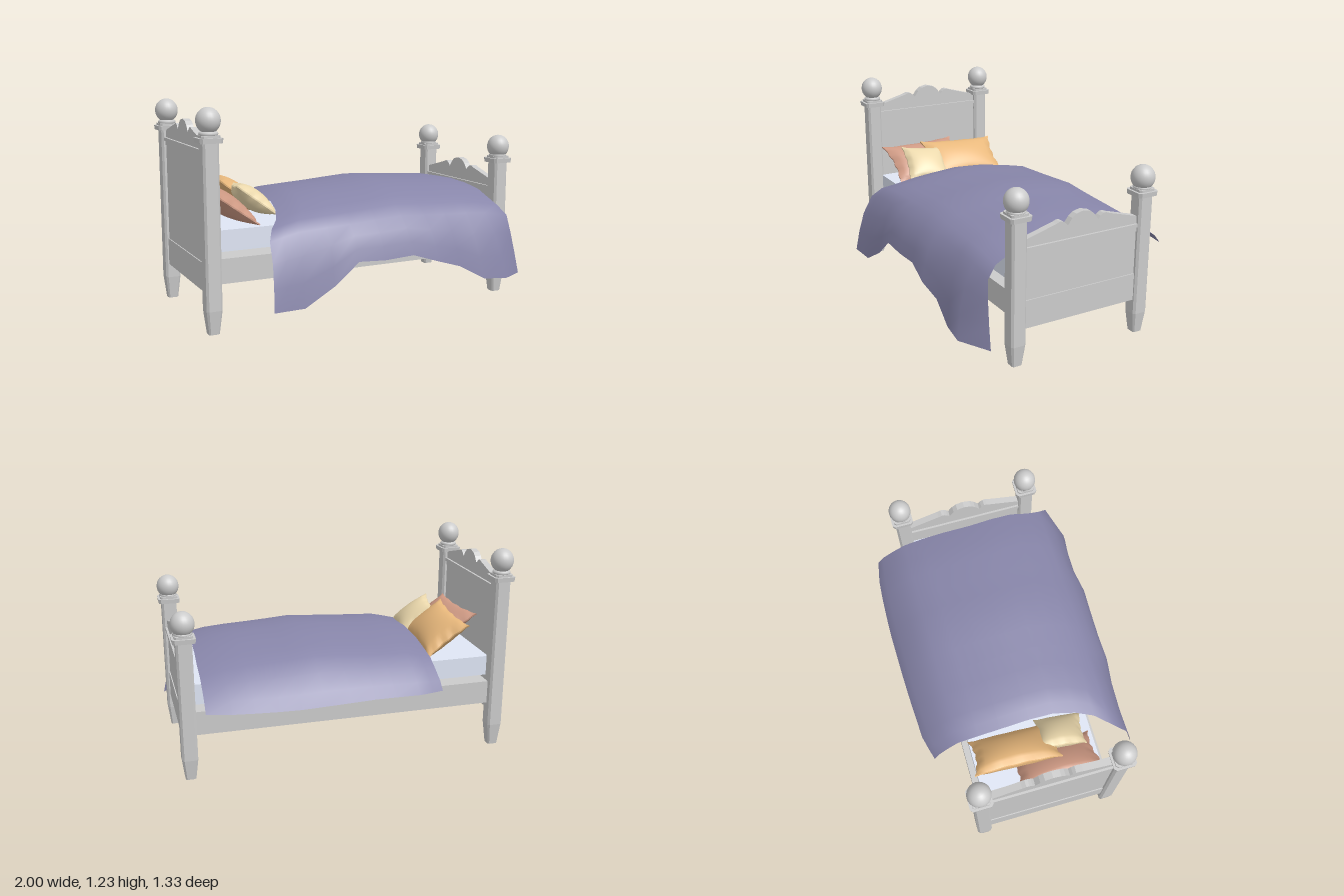
import * as THREE from 'three';

const mat = (color, extra = {}) => new THREE.MeshStandardMaterial({ color, ...extra });
const wood = mat(0xcccccc);
const Z0 = -0.015; // centre line of the frame

function add(parent, name, geo, material, x = 0, y = 0, z = 0) {
  const m = new THREE.Mesh(geo, material);
  m.name = name;
  m.position.set(x, y, z);
  parent.add(m);
  return m;
}

// Piecewise-linear lookup in [[t, value], ...]
function lookup(keys, t) {
  for (let i = 1; i < keys.length; i++) {
    const [t0, a] = keys[i - 1], [t1, b] = keys[i];
    if (t <= t1) return a + (b - a) * (t - t0) / (t1 - t0);
  }
  return keys[keys.length - 1][1];
}

// Upright prism with a chamfered square section; the base may be narrower
function chamferedPrism(half, chamfer, y0, y1, baseScale = 1) {
  const a = half, b = half - chamfer;
  const pts = [[a, -b], [a, b], [b, a], [-b, a], [-a, b], [-a, -b], [-b, -a], [b, -a]];
  const shape = new THREE.Shape(pts.map(p => new THREE.Vector2(...p)));
  const geo = new THREE.ExtrudeGeometry(shape, { depth: y1 - y0, bevelEnabled: false });
  geo.rotateX(-Math.PI / 2);
  const p = geo.attributes.position;
  for (let i = 0; i < p.count; i++) {
    if (p.getY(i) < 1e-4) p.setXYZ(i, p.getX(i) * baseScale, p.getY(i), p.getZ(i) * baseScale);
  }
  geo.translate(0, y0, 0);
  geo.computeVertexNormals();
  return geo;
}

// Bed post: tapered foot, shaft, collar, ring and ball
function makePost(name, base, collarY, ballY) {
  const g = new THREE.Group();
  g.name = name;
  add(g, 'foot', chamferedPrism(0.045, 0.012, base, 0.135, 0.66), wood);
  add(g, 'shaft', chamferedPrism(0.045, 0.012, 0.135, collarY), wood);
  add(g, 'collar', chamferedPrism(0.065, 0.014, collarY, collarY + 0.027, 0.96), wood);
  add(g, 'collarTop', chamferedPrism(0.052, 0.012, collarY + 0.027, collarY + 0.04), wood);
  const ring = new THREE.TorusGeometry(0.04, 0.013, 8, 24).rotateX(Math.PI / 2);
  add(g, 'ring', ring, wood, 0, Math.min(collarY + 0.047, ballY - 0.055), 0);
  add(g, 'ball', new THREE.SphereGeometry(0.067, 24, 16).scale(1, 1.05, 1), wood, 0, ballY, 0);
  return g;
}

// End board with a scalloped crest; peak is the height of the crest
function makeBoard(name, x, peak) {
  const g = new THREE.Group();
  g.name = name;
  const half = 0.37, bottom = 0.22;
  const crest = [[0, 0], [0.045, -0.01], [0.07, -0.03], [0.097, -0.066], [0.112, -0.05],
    [0.13, -0.037], [0.147, -0.036], [0.17, -0.045], [0.37, -0.1]];
  const shape = new THREE.Shape();
  shape.moveTo(-half, bottom).lineTo(half, bottom);
  [...crest].reverse().forEach(([z, d]) => shape.lineTo(z, peak + d));
  crest.slice(1).forEach(([z, d]) => shape.lineTo(-z, peak + d));
  const geo = new THREE.ExtrudeGeometry(shape, { depth: 0.04, bevelEnabled: false });
  geo.translate(0, 0, -0.02).rotateY(Math.PI / 2);
  add(g, 'panel', geo, wood);
  const rail = (n, t, y0, y1) =>
    add(g, n, new THREE.BoxGeometry(t, y1 - y0, half * 2), wood, 0, (y0 + y1) / 2, 0);
  rail('lowerRail', 0.052, bottom, 0.38);
  rail('crestRail', 0.05, peak - 0.185, peak - 0.158);
  rail('crestMoulding', 0.066, peak - 0.158, peak - 0.138);
  g.position.set(x, 0, Z0);
  return g;
}

// Plump pillow with pinched sides and a slightly wavy seam
function pillowGeometry(w, l, h) {
  const geo = new THREE.BoxGeometry(2, 2, 2, 16, 1, 16);
  const p = geo.attributes.position;
  for (let i = 0; i < p.count; i++) {
    const u = p.getX(i), v = p.getZ(i), s = Math.sign(p.getY(i));
    const puff = Math.sqrt(Math.max(0, (1 - u * u) * (1 - v * v)));
    const edge = Math.max(Math.abs(u), Math.abs(v)) ** 6;
    const wave = 0.018 * edge * Math.cos((u + v) * 12);
    p.setXYZ(i,
      w / 2 * u * (1 - 0.12 * (1 - v * v) + wave),
      s * (0.004 + h / 2 * puff),
      l / 2 * v * (1 - 0.1 * (1 - u * u) + wave));
  }
  geo.computeVertexNormals();
  return geo;
}

// Blanket: rows run from the back hem over the top to the front hem
function blanketGeometry() {
  const cols = [0, 0.05, 0.11, 0.22, 0.31, 0.41, 0.52, 0.62, 0.71, 0.81, 0.9, 1];
  const top = [[0, 0.67], [0.1, 0.708], [0.22, 0.718], [0.37, 0.73], [0.5, 0.748],
    [0.66, 0.732], [0.88, 0.718], [1, 0.685]];
  const frontY = [[0, 0.15], [0.11, 0.15], [0.22, 0.25], [0.31, 0.37], [0.41, 0.36],
    [0.52, 0.37], [0.71, 0.27], [0.81, 0.18], [1, 0.16]];
  const frontZ = [[0, 0.645], [0.22, 0.63], [0.5, 0.625], [0.62, 0.645], [0.71, 0.63], [0.9, 0.665], [1, 0.56]];
  const backZ = [[0, -0.6], [0.1, -0.64], [0.35, -0.66], [0.65, -0.67], [0.88, -0.66], [1, -0.63]];
  const backY = [[0, 0.46], [0.3, 0.475], [0.65, 0.465], [1, 0.48]];
  // left x, right x, z, drop below the crown
  const rows = [[-0.5, 0.85, -0.44, 0.06], [-0.5, 0.85, -0.32, 0.035], [-0.5, 0.845, -0.18, 0.012],
    [-0.495, 0.84, 0, 0], [-0.495, 0.855, 0.15, 0.012], [-0.52, 0.865, 0.28, 0.035],
    [-0.56, 0.86, 0.39, 0.07], [-0.62, 0.87, 0.47, 0.105], [-0.655, 0.9, 0.53, 0.16]];
  const onTop = ([xl, xr, z, d], t) => [xl + (xr - xl) * t, lookup(top, t) - d, z];
  const mix = (a, b, k) => a.map((v, i) => v + (b[i] - v) * (Array.isArray(k) ? k[i] : k));
  const sections = cols.map(t => {
    const mid = rows.map(r => onTop(r, t));
    const back = [-0.52 + 1.37 * t, lookup(backY, t), lookup(backZ, t)];
    const front = [-0.68 + 1.66 * t, lookup(frontY, t), lookup(frontZ, t)];
    const last = mid[mid.length - 1];
    return [back, mix(mid[0], back, [0.7, 0.66, 0.8]), mix(mid[0], back, [0.3, 0.3, 0.4]), ...mid,
      mix(last, front, [0.3, 0.3, 0.5]), mix(last, front, [0.65, 0.65, 0.8]), front];
  });
  const nr = sections[0].length, nc = cols.length;
  const geo = new THREE.PlaneGeometry(1, 1, nc - 1, nr - 1);
  for (let r = 0; r < nr; r++) {
    for (let c = 0; c < nc; c++) geo.attributes.position.setXYZ(r * nc + c, ...sections[c][r]);
  }
  geo.computeVertexNormals();
  return geo;
}

export function createModel() {
  const bed = new THREE.Group();
  bed.name = 'bed';

  // Four posts and the two end boards
  for (const [side, s] of [['Left', -1], ['Right', 1]]) {
    const head = makePost('headPost' + side, 0, 1.043, 1.16);
    head.position.set(-0.935, 0, Z0 + s * 0.4);
    const foot = makePost('footPost' + side, 0.012, 0.832, 0.93);
    foot.position.set(0.928, 0, Z0 + s * 0.4);
    bed.add(head, foot);
    add(bed, 'sideRail' + side, new THREE.BoxGeometry(1.8, 0.14, 0.04), wood, 0, 0.34, Z0 + s * 0.382);
  }
  bed.add(makeBoard('headboard', -0.935, 1.14), makeBoard('footboard', 0.928, 0.815));

  // Base and mattress
  add(bed, 'base', new THREE.BoxGeometry(1.82, 0.12, 0.74), wood, 0, 0.332, Z0);
  add(bed, 'mattress', new THREE.BoxGeometry(1.8, 0.12, 0.73), mat(0xdfe6f5), 0, 0.5, Z0);

  // Blanket draped over both sides
  add(bed, 'blanket', blanketGeometry(), mat(0x8886aa, { side: THREE.DoubleSide }));

  // Pillows leaning towards the headboard: width, length, thickness, position, tilt, spin
  const pillows = [
    ['pillowRose', 0xcf9a84, 0.32, 0.51, 0.12, [-0.77, 0.665, 0.08], 0.62, 0.03],
    ['pillowOrange', 0xe8b87c, 0.31, 0.51, 0.13, [-0.645, 0.685, -0.135], 0.65, -0.06],
    ['pillowCream', 0xecd9ad, 0.28, 0.28, 0.11, [-0.615, 0.685, 0.15], 0.65, -0.15],
  ];
  for (const [name, color, w, l, h, pos, tilt, spin] of pillows) {
    const m = add(bed, name, pillowGeometry(w, l, h), mat(color), ...pos);
    m.rotation.set(0, spin, -tilt, 'ZYX');
  }
  return bed;
}
